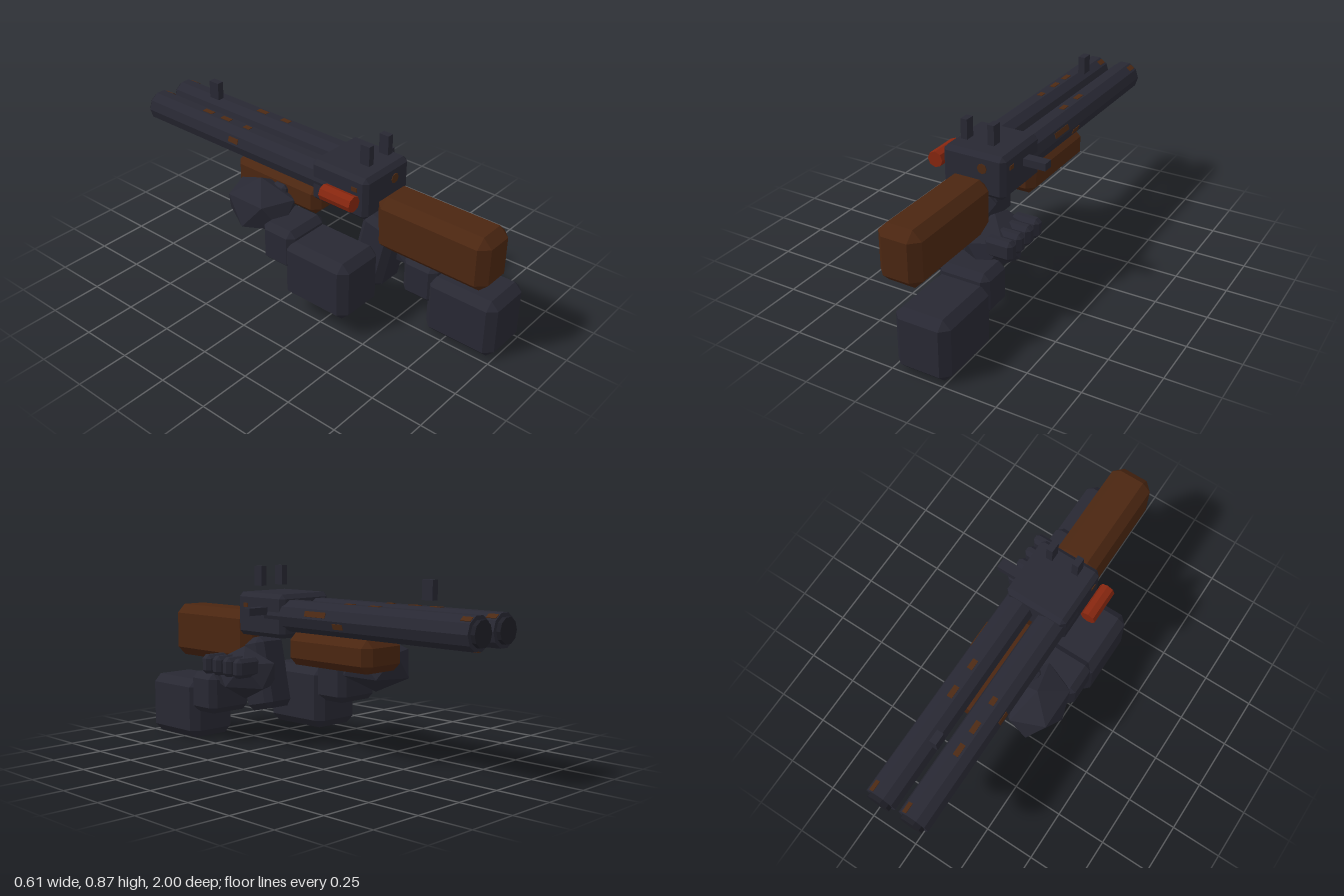
import * as THREE from 'three';
import { ConvexGeometry } from 'three/addons/geometries/ConvexGeometry.js';

const material = (name, color) => {
  const m = new THREE.MeshStandardMaterial({ color, flatShading: true });
  m.name = name;
  return m;
};

// Box with cut edges and corners, given by its limits on each axis
function chamferBox(x, y, z, b) {
  const h = [x, y, z].map(([lo, hi]) => (hi - lo) / 2);
  const points = [];
  for (const sx of [-1, 1]) for (const sy of [-1, 1]) for (const sz of [-1, 1])
    for (let full = 0; full < 3; full++) {
      const p = h.map((v, i) => (i === full ? v : v - b));
      points.push(new THREE.Vector3(p[0] * sx, p[1] * sy, p[2] * sz));
    }
  return new ConvexGeometry(points);
}

// Cylinder lying along z, with corners on the x axis
function rod(radius, length, sides) {
  return new THREE.CylinderGeometry(radius, radius, length, sides)
    .rotateY(Math.PI / 2).rotateX(Math.PI / 2);
}

export function createModel() {
  const group = new THREE.Group();
  const metal = material('gunmetal', 0x282833);
  const cloth = material('dark cloth', 0x282833);
  const bore = material('muzzle', 0x1e1e26);
  const wood = material('wood', 0x4b2611);
  const rust = material('rust', 0x4d2a14);
  const red = material('shell red', 0x86260f);

  const add = (name, geometry, mat, x = 0, y = 0, z = 0) => {
    const mesh = new THREE.Mesh(geometry, mat);
    mesh.name = name;
    mesh.position.set(x, y, z);
    group.add(mesh);
    return mesh;
  };
  const mid = ([lo, hi]) => (lo + hi) / 2;
  const block = (name, mat, x, y, z, b) =>
    add(name, chamferBox(x, y, z, b), mat, mid(x), mid(y), mid(z));
  const plain = (name, mat, x, y, z) =>
    add(name, new THREE.BoxGeometry(x[1] - x[0], y[1] - y[0], z[1] - z[0]), mat, mid(x), mid(y), mid(z));

  // Gun body
  block('stock', wood, [-0.076, 0.134], [0.388, 0.653], [0.4, 0.98], 0.043);
  block('receiver', metal, [-0.127, 0.185], [0.545, 0.75], [0.083, 0.4], 0.021);
  block('foreEnd', wood, [-0.097, 0.155], [0.424, 0.576], [-0.422, 0.095], 0.036);
  plain('lever', metal, [0.17, 0.295], [0.653, 0.688], [0.183, 0.235]);

  // Grip leaning back below the receiver
  const grip = block('grip', metal, [-0.057, 0.117], [0.165, 0.52], [0.285, 0.465], 0.03);
  grip.rotation.x = 0.22;

  // Barrels
  const barrelX = [-0.056, 0.114], barrelY = 0.651, radius = 0.0765;
  for (const x of barrelX) {
    add('barrel', rod(radius, 1.185, 10), metal, x, barrelY, -0.3875);
    add('muzzle', rod(0.058, 0.02, 10), bore, x, barrelY, -0.99);
  }

  // Sights
  plain('frontSight', metal, [0.012, 0.046], [0.76, 0.847], [-0.688, -0.63]);
  for (const x of [-0.039, 0.095])
    plain('rearSight', metal, [x - 0.016, x + 0.016], [0.778, 0.872], [0.306, 0.356]);

  // Spare shell
  add('shell', rod(0.038, 0.17, 8), red, -0.18, 0.655, 0.292);

  // Rust patches on barrel facets: barrel, facet angle, z, length
  const patches = [
    [0, 54, -0.95, 0.05], [1, 54, -0.95, 0.05], [0, 90, -0.63, 0.06], [0, 90, -0.51, 0.06],
    [0, 90, -0.37, 0.04], [1, 90, -0.43, 0.06], [1, 90, -0.28, 0.05],
    [1, 18, -0.13, 0.13], [1, -18, -0.27, 0.06], [1, -90, -0.97, 0.02], [0, 162, -0.4, 0.06],
  ];
  for (const [i, degrees, z, length] of patches) {
    const a = THREE.MathUtils.degToRad(degrees), d = radius * Math.cos(Math.PI / 10);
    const patch = add('rustPatch', new THREE.BoxGeometry(0.005, 0.026, length), rust,
      barrelX[i] + d * Math.cos(a), barrelY + d * Math.sin(a), z);
    patch.rotation.z = a;
  }
  // Rust patches on the receiver
  add('rustPatch', new THREE.CylinderGeometry(0.024, 0.024, 0.006, 8).rotateX(Math.PI / 2), rust, 0.077, 0.683, 0.4);
  for (const x of [-0.127, 0.185])
    plain('rustPatch', rust, [x - 0.003, x + 0.003], [0.68, 0.7], [0.32, 0.35]);

  // Hands: stretched icosahedra standing on a corner; side turns the lower bulge outward
  const hand = (name, side, x, y, z, rx, ry, rz) => {
    const g = new THREE.IcosahedronGeometry(1, 0)
      .rotateX(-Math.atan((1 + Math.sqrt(5)) / 2))
      .rotateY(side * -Math.PI / 2)
      .scale(rx, ry, rz);
    return add(name, g, cloth, x, y, z);
  };

  // Rear arm
  block('rearSleeve', cloth, [0.007, 0.272], [0, 0.298], [0.637, 1], 0.038);
  block('rearCuff', cloth, [0.016, 0.265], [0.142, 0.343], [0.5, 0.68], 0.03);
  hand('rearHand', 1, 0.14, 0.352, 0.4, 0.14, 0.13, 0.2);
  for (let i = 0; i < 4; i++) {
    const z = 0.285 + i * 0.076;
    block('finger', cloth, [0.165, 0.302], [0.35, 0.443], [z - 0.03, z + 0.03], 0.018);
  }

  // Front arm
  block('frontSleeve', cloth, [-0.298, -0.031], [0.092, 0.39], [0.055, 0.422], 0.038);
  block('frontCuff', cloth, [-0.29, -0.045], [0.23, 0.432], [-0.08, 0.11], 0.03);
  hand('frontHand', -1, -0.165, 0.43, -0.185, 0.155, 0.14, 0.195);
  const thumb = block('thumb', cloth, [-0.13, -0.04], [0.47, 0.53], [-0.16, -0.08], 0.015);
  thumb.rotation.z = -0.3;

  return group;
}
